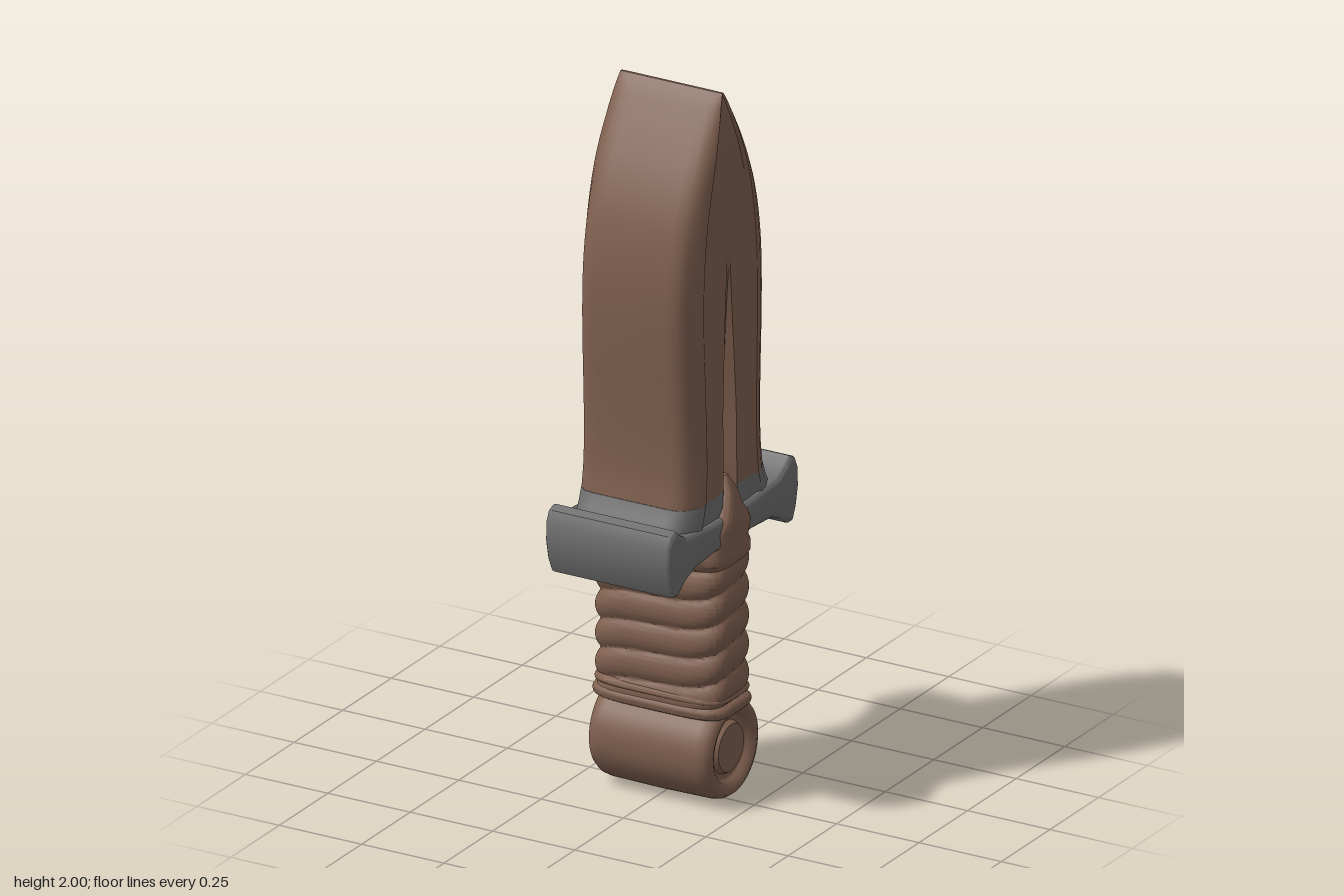
import * as THREE from 'three';
import { toCreasedNormals } from 'three/addons/utils/BufferGeometryUtils.js';

const brown = new THREE.MeshStandardMaterial({ color: 0x80604f });
brown.name = 'brown';
const grey = new THREE.MeshStandardMaterial({ color: 0x6f6f6f });
grey.name = 'grey';

// Skin a stack of rings; each ring is {y, pts: [[x, z], ...]} running from +z towards +x.
function loft(rings, crease = 0.6) {
  const n = rings[0].pts.length, pos = [], idx = [];
  for (const r of rings) for (const [x, z] of r.pts) pos.push(x, r.y, z);
  for (let i = 0; i < rings.length - 1; i++) {
    for (let j = 0; j < n; j++) {
      const k = (j + 1) % n, a = i * n + j, b = i * n + k, c = b + n, d = a + n;
      idx.push(a, b, c, a, c, d);
    }
  }
  // End caps as fans around a middle point
  [0, rings.length - 1].forEach((i, top) => {
    const m = pos.length / 3;
    pos.push(0, rings[i].y, 0);
    for (let j = 0; j < n; j++) {
      const a = i * n + j, b = i * n + (j + 1) % n;
      if (top) idx.push(m, a, b); else idx.push(m, b, a);
    }
  });
  const g = new THREE.BufferGeometry();
  g.setAttribute('position', new THREE.Float32BufferAttribute(pos, 3));
  g.setIndex(idx);
  return toCreasedNormals(g, crease);
}

// Rounded-rectangle ring; swell(angle) adds to the size.
function roundedRing(y, hx, hz, swell = () => 0, n = 64) {
  const pts = [];
  for (let j = 0; j < n; j++) {
    const t = (j / n) * Math.PI * 2, s = Math.sin(t), c = Math.cos(t), e = swell(t);
    pts.push([Math.sign(s) * Math.abs(s) ** 0.45 * (hx + e), Math.sign(c) * Math.abs(c) ** 0.45 * (hz + e)]);
  }
  return { y, pts };
}

// Blade ring: half width w, thickness factor t, groove strength s.
function bladeRing(y, w, t, s) {
  const k = w / 0.215;
  const q = [
    [0.11, w], [0.138, w - 0.004 * k], [0.158, w - 0.022 * k], [0.174, w - 0.055 * k],
    [0.178, w - 0.078 * k], [0.17, w - 0.095 * k], [0.17, 0.06 * k],
    [0.172, (0.006 + 0.03 * s) * k], [0.172 - 0.035 * s, (0.003 + 0.018 * s) * k],
  ].map(([x, z]) => [x * t, z]);
  const r = [...q].reverse();
  return { y, pts: [...q, ...r.map(([x, z]) => [x, -z]), ...q.map(([x, z]) => [-x, -z]), ...r.map(([x, z]) => [-x, z])] };
}

export function createModel() {
  const group = new THREE.Group();
  const add = (name, geo, mat) => {
    const m = new THREE.Mesh(geo, mat);
    m.name = name;
    group.add(m);
    return m;
  };

  // Leaf-shaped blade with a tapering central groove
  const widths = [
    [0.88, 0.212], [0.95, 0.202], [1.05, 0.2], [1.2, 0.207], [1.32, 0.214], [1.43, 0.216], [1.53, 0.21],
    [1.62, 0.195], [1.7, 0.172], [1.78, 0.138], [1.86, 0.095], [1.93, 0.053], [1.975, 0.024], [2.0, 0.004],
  ];
  const curve = new THREE.CatmullRomCurve3(widths.map(([y, w]) => new THREE.Vector3(w, y, 0)));
  const rings = [];
  for (let i = 0; i <= 52; i++) {
    const p = curve.getPoint(i / 52), y = p.y;
    const tip = THREE.MathUtils.clamp((y - 1.75) / 0.25, 0, 1);
    const groove = THREE.MathUtils.clamp((1.55 - y) / 0.45, 0, 1);
    const t = 1.03 - 0.03 * THREE.MathUtils.clamp((y - 0.9) / 0.5, 0, 1) - 0.13 * tip ** 2;
    rings.push(bladeRing(y, Math.max(p.x, 0.003), t, groove));
  }
  add('blade', loft(rings), brown);

  // Grey foot where the blade flares into the guard
  add('bladeFoot', loft([[0.78, 0.25], [0.82, 0.246], [0.85, 0.228], [0.885, 0.213]]
    .map(([y, w]) => bladeRing(y, w, 1.03, 1))), grey);

  // Dark strip on the floor of one groove
  const strip = new THREE.BoxGeometry(0.006, 0.42, 0.034);
  add('grooveInlay', strip, grey).position.set(-0.142, 1.1, 0);

  // Crossguard with flared, rounded ends
  const half = [[0.1, 0.735], [0.2, 0.728], [0.25, 0.708], [0.285, 0.682], [0.305, 0.682], [0.322, 0.72],
    [0.334, 0.775], [0.332, 0.83], [0.318, 0.86], [0.295, 0.87], [0.27, 0.85], [0.235, 0.83], [0.1, 0.82]];
  const outline = [...half, ...[...half].reverse().map(([x, y]) => [-x, y])].map(([x, y]) => new THREE.Vector2(x, y));
  const bevel = 0.014;
  let guard = new THREE.ExtrudeGeometry(new THREE.Shape(outline), {
    depth: 0.382 - 2 * bevel, bevelThickness: bevel, bevelSize: bevel, bevelOffset: -bevel, bevelSegments: 3,
  });
  guard.translate(0, 0, -0.191 + bevel);
  guard.rotateY(Math.PI / 2);
  add('crossguard', toCreasedNormals(guard, 0.7), grey);

  // Collar through the guard, rising to a point on the blade faces
  add('guardCollar', loft([
    [0.67, 0.192, 0.095], [0.69, 0.203, 0.11], [0.715, 0.203, 0.112], [0.735, 0.2, 0.1], [0.78, 0.209, 0.1],
    [0.81, 0.209, 0.075], [0.84, 0.2, 0.05], [0.88, 0.192, 0.032], [0.92, 0.168, 0.012],
  ].map(([y, x, z]) => roundedRing(y, x, z))), brown);

  // Grip with spiral wrapping
  const grip = [];
  for (let i = 0; i <= 72; i++) {
    const y = 0.27 + (0.42 * i) / 72;
    grip.push(roundedRing(y, 0.186, 0.089, (a) => 0.015 * Math.abs(Math.sin(Math.PI * (y / 0.082 - a / Math.PI))) ** 0.7));
  }
  add('grip', loft(grip, 1), brown);

  // Two rings between grip and pommel
  for (const [y, h, x, z] of [[0.268, 0.02, 0.207, 0.11], [0.302, 0.014, 0.202, 0.106]]) {
    const ring = [];
    for (let i = 0; i <= 8; i++) {
      const a = (i / 8 - 0.5) * Math.PI, inset = 0.022 * (1 - Math.cos(a));
      ring.push(roundedRing(y + h * Math.sin(a), x - inset, z - inset));
    }
    add('gripRing', loft(ring, 1), brown);
  }

  // Round pommel lying across the handle, with a raised rim at each end
  const side = [[0.001, 0.16], [0.085, 0.16], [0.09, 0.168], [0.099, 0.181], [0.113, 0.187], [0.127, 0.182], [0.137, 0.168], [0.141, 0.145]];
  const profile = [...side.map(([r, h]) => [r, -h]), [0.143, 0], ...[...side].reverse()].map(([r, h]) => new THREE.Vector2(r, h));
  const pommel = new THREE.LatheGeometry(profile, 48);
  pommel.rotateZ(-Math.PI / 2);
  add('pommel', pommel, brown).position.set(0, 0.143, -0.008);

  // Domed discs set in the pommel ends
  for (const s of [1, -1]) {
    const disc = new THREE.CylinderGeometry(0.066, 0.074, 0.016, 40);
    disc.rotateZ((-s * Math.PI) / 2);
    add(s > 0 ? 'leftPommelDisc' : 'rightPommelDisc', disc, s > 0 ? brown : grey).position.set(s * 0.167, 0.143, -0.008);
  }
  return group;
}
